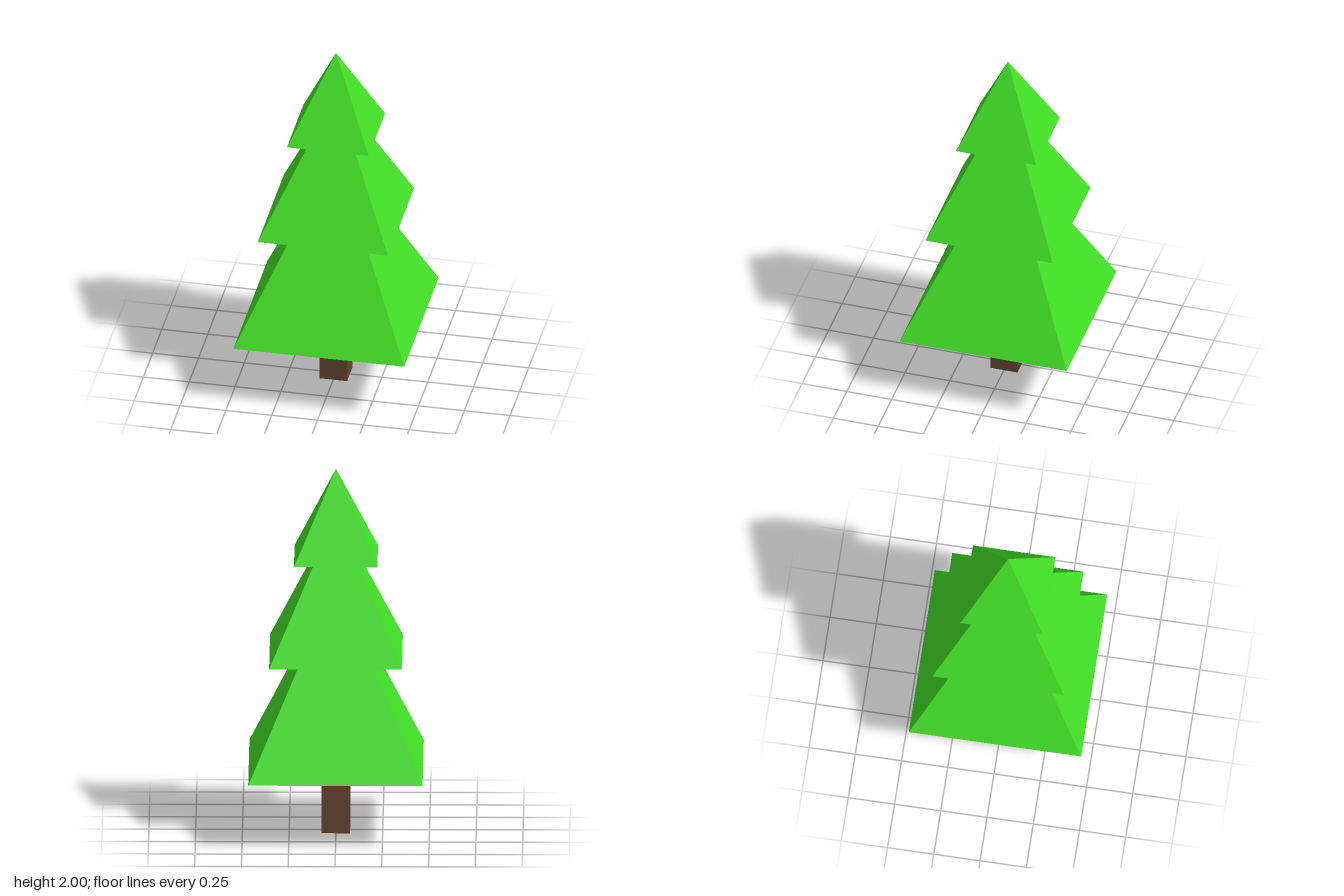
import * as THREE from 'three';

const leaf = new THREE.MeshStandardMaterial({ color: 0x42e227 });
leaf.name = 'leaf green';
leaf.flatShading = true;
const bark = new THREE.MeshStandardMaterial({ color: 0x634530 });
bark.name = 'bark brown';

// Square pyramid with its sides facing the axes
function foliageTier(name, halfWidth, bottom, top) {
  const height = top - bottom;
  const geometry = new THREE.ConeGeometry(halfWidth * Math.SQRT2, height, 4);
  geometry.rotateY(Math.PI / 4);
  const mesh = new THREE.Mesh(geometry, leaf);
  mesh.name = name;
  mesh.position.y = bottom + height / 2;
  return mesh;
}

export function createModel() {
  const tree = new THREE.Group();
  tree.name = 'pineTree';

  // Square trunk, ending just inside the lowest tier
  const trunkHeight = 0.4;
  const trunk = new THREE.Mesh(new THREE.BoxGeometry(0.152, trunkHeight, 0.152), bark);
  trunk.name = 'trunk';
  trunk.position.y = trunkHeight / 2;
  tree.add(trunk);

  // Three overlapping tiers of foliage
  tree.add(
    foliageTier('lowerFoliage', 0.466, 0.37, 1.39),
    foliageTier('middleFoliage', 0.355, 0.985, 1.755),
    foliageTier('upperFoliage', 0.223, 1.515, 2),
  );
  return tree;
}
